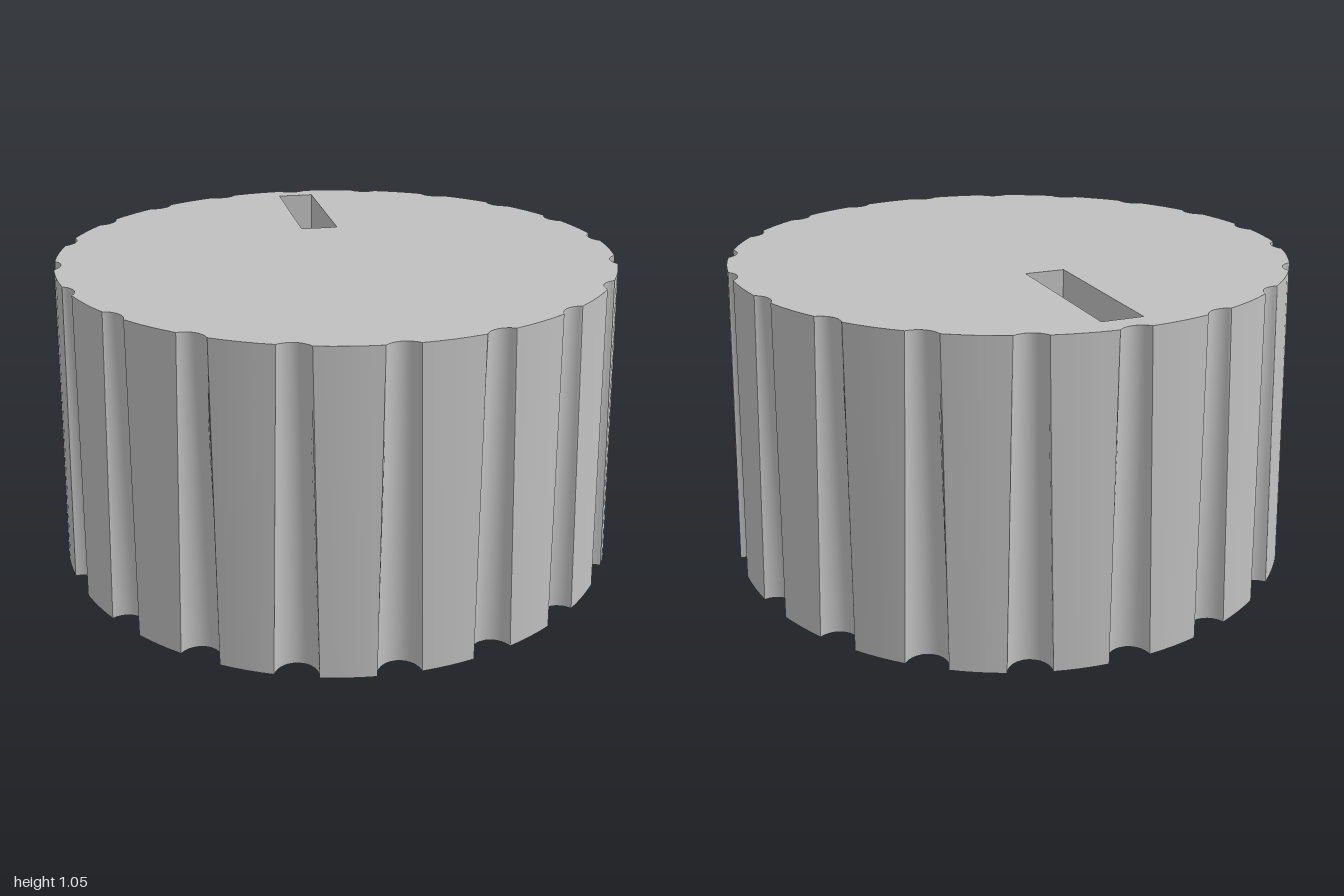
import * as THREE from 'three';
import { mergeGeometries } from 'three/addons/utils/BufferGeometryUtils.js';

const HEIGHT = 1.05, R_BOTTOM = 1.0025, R_TOP = 0.957;
const FLUTES = 20, FLUTE_R = 0.07, FLUTE_C = 1.004;
const SLOT = { x0: -0.067, x1: 0.067, z0: -0.87, z1: -0.32, depth: 0.18 };
const BORE = { r: 0.275, flat: -0.155, depth: 0.8 };
const STEP = (Math.PI * 2) / FLUTES;

const polar = (r, a) => new THREE.Vector2(r * Math.cos(a), r * Math.sin(a));
const range = (n, from, to, fn) =>
  Array.from({ length: n + 1 }, (_, i) => fn(from + ((to - from) * i) / n));

// Half-angle of a flute where it cuts a body of radius R
const cutAngle = (R) =>
  Math.acos((R * R + FLUTE_C * FLUTE_C - FLUTE_R * FLUTE_R) / (2 * R * FLUTE_C));

// Concave flute arc, points as (x, z)
function fluteArc(R, k) {
  const c = polar(FLUTE_C, k * STEP);
  const edge = polar(R, cutAngle(R));
  const t = Math.atan2(edge.y, edge.x - FLUTE_C);
  return range(12, -t + Math.PI * 2, t, (a) => polar(FLUTE_R, a + k * STEP).add(c));
}

// Convex arc between neighbouring flutes
function lobeArc(R, k) {
  const h = cutAngle(R);
  return range(4, k * STEP + h, (k + 1) * STEP - h, (a) => polar(R, a));
}

// Smooth wall joining a lower and an upper row of (x, z) points
function wall(lower, upper, y0, y1) {
  const pos = [], index = [];
  lower.forEach((p, i) => {
    pos.push(p.x, y0, p.y, upper[i].x, y1, upper[i].y);
    if (i) {
      const a = 2 * (i - 1);
      index.push(a, a + 1, a + 3, a, a + 3, a + 2);
    }
  });
  const g = new THREE.BufferGeometry();
  g.setAttribute('position', new THREE.Float32BufferAttribute(pos, 3));
  g.setIndex(index);
  g.computeVertexNormals();
  return g;
}

// Flat face from (x, z) points, facing up or down
function face(points, holes, y, up) {
  const flip = (list) => list.map((p) => new THREE.Vector2(p.x, up ? -p.y : p.y));
  const shape = new THREE.Shape(flip(points));
  holes.forEach((h) => shape.holes.push(new THREE.Path(flip(h))));
  return new THREE.ShapeGeometry(shape)
    .rotateX(up ? -Math.PI / 2 : Math.PI / 2)
    .translate(0, y, 0);
}

function outline(R) {
  const points = [];
  for (let k = 0; k < FLUTES; k++) {
    points.push(...fluteArc(R, k), ...lobeArc(R, k).slice(1, -1));
  }
  return points;
}

export function createModel() {
  const group = new THREE.Group();
  group.name = 'knob';
  const grey = new THREE.MeshStandardMaterial({ color: 0xc0c0c0 });
  grey.name = 'grey plastic';
  const add = (name, geometry) => {
    const mesh = new THREE.Mesh(geometry, grey);
    mesh.name = name;
    group.add(mesh);
  };

  // Tapered grip with upright flutes
  const lobes = [], flutes = [];
  for (let k = 0; k < FLUTES; k++) {
    lobes.push(wall(lobeArc(R_BOTTOM, k), lobeArc(R_TOP, k), 0, HEIGHT));
    flutes.push(wall(fluteArc(R_BOTTOM, k), fluteArc(R_TOP, k), 0, HEIGHT));
  }
  add('gripLobes', mergeGeometries(lobes));
  add('gripFlutes', mergeGeometries(flutes));

  // Top face with the pointer slot sunk into it
  const { x0, x1, z0, z1 } = SLOT;
  const slot = [[x1, z0], [x0, z0], [x0, z1], [x1, z1]].map((p) => new THREE.Vector2(...p));
  const slotY = HEIGHT - SLOT.depth;
  add('topFace', face(outline(R_TOP), [slot], HEIGHT, true));
  add('pointerSlotWalls', mergeGeometries(slot.map((p, i) => {
    const edge = [p, slot[(i + 1) % 4]];
    return wall(edge, edge, slotY, HEIGHT);
  })));
  add('pointerSlotFloor', face(slot, [], slotY, true));

  // Underside with the D-shaped shaft bore
  const a = Math.asin(BORE.flat / BORE.r);
  const bore = range(40, Math.PI - a, a, (t) => polar(BORE.r, t));
  const flat = [bore[bore.length - 1], bore[0]];
  add('bottomFace', face(outline(R_BOTTOM), [bore], 0, false));
  add('shaftBoreWall', wall(bore, bore, 0, BORE.depth));
  add('shaftBoreFlat', wall(flat, flat, 0, BORE.depth));
  add('shaftBoreEnd', face(bore, [], BORE.depth, false));

  return group;
}
